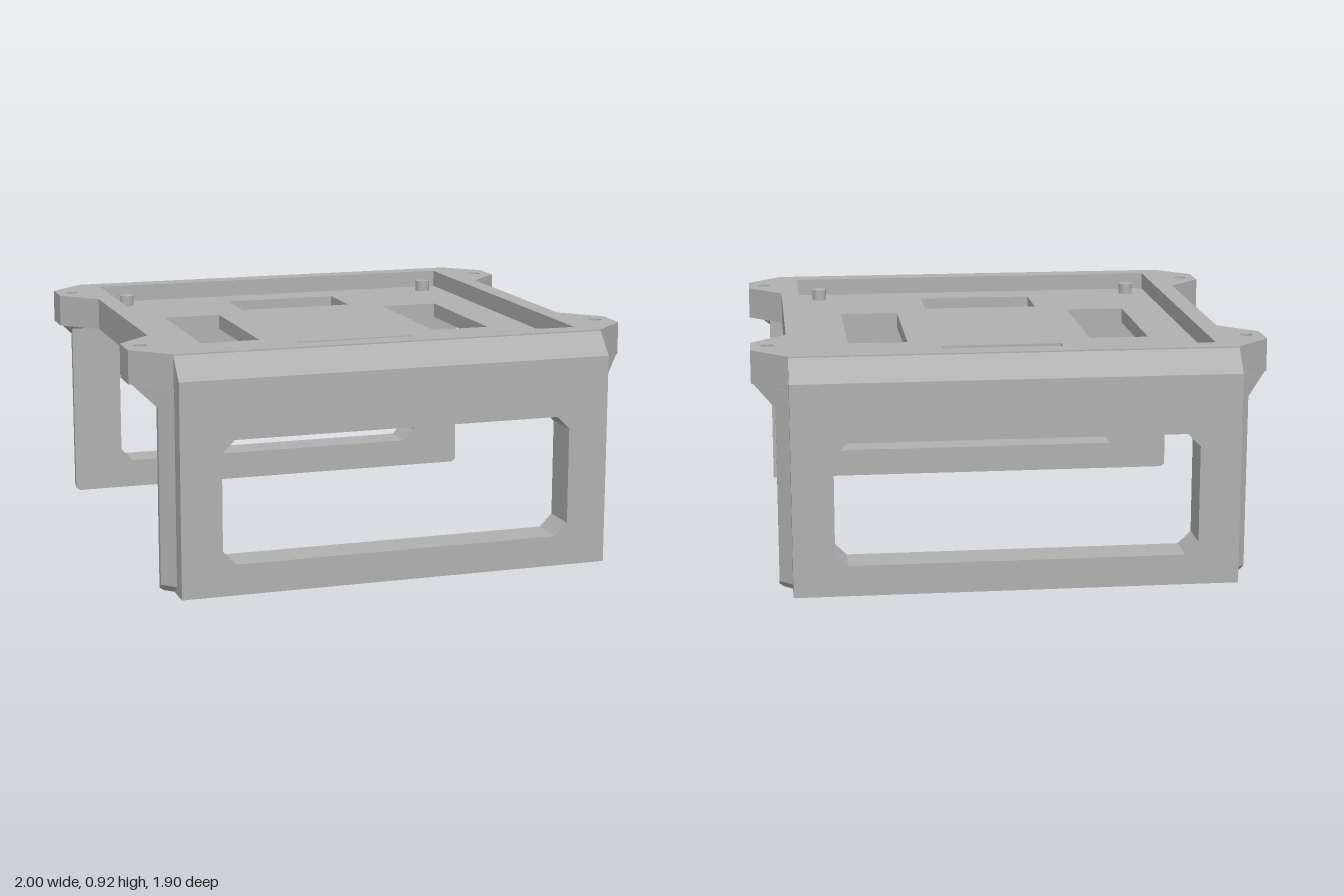
import * as THREE from 'three';
import { ConvexGeometry } from 'three/addons/geometries/ConvexGeometry.js';

const grey = new THREE.MeshStandardMaterial({ color: 0xb0b0b0 });
grey.name = 'plain grey';

const part = (name, geometry, parent) => {
  const mesh = new THREE.Mesh(geometry, grey);
  mesh.name = name;
  parent.add(mesh);
  return mesh;
};
const loop = (pts) => pts.map(([x, y]) => new THREE.Vector2(x, y));
const rect = (x0, y0, x1, y1) => loop([[x0, y0], [x1, y0], [x1, y1], [x0, y1]]);
const circle = (x, y, r) => new THREE.Path().absarc(x, y, r, 0, Math.PI * 2, false);

function extrude(points, holes, depth) {
  const shape = new THREE.Shape(points);
  for (const h of holes) shape.holes.push(h instanceof THREE.Path ? h : new THREE.Path(h));
  return new THREE.ExtrudeGeometry(shape, { depth, bevelEnabled: false, curveSegments: 10 });
}

// Flat slab drawn in plan (x, -z) between two heights
const slab = (points, holes, y0, y1) =>
  extrude(points, holes, y1 - y0).rotateX(-Math.PI / 2).translate(0, y0, 0);

const hull = (pts) => new ConvexGeometry(pts.map((p) => new THREE.Vector3(...p)));

// One leg frame on the +z side; cuts lists the sides whose foot is bevelled
function makeLeg(name, cuts) {
  const leg = new THREE.Group();
  leg.name = name;

  // Panel with a chamfered rectangular opening
  const w = 0.70, b = 0.12, t = 0.60, c = 0.05;
  const opening = loop([[-w, b + c], [-w + c, b], [w - c, b], [w, b + c],
    [w, t - c], [w - c, t], [-w + c, t], [-w, t - c]]);
  part('legPanel', extrude(rect(-0.86, 0.06, 0.86, 0.72), [opening], 0.15).translate(0, 0, 0.80), leg);

  // Foot bar with screw holes
  part('footBar', slab(rect(-0.86, -0.95, 0.86, -0.80),
    [circle(-0.83, -0.875, 0.022), circle(0.83, -0.875, 0.022)], 0, 0.06), leg);

  // Top beam with the outer chamfer, drawn in (-z, y) and run along x
  const beam = extrude(loop([[-0.80, 0.72], [-0.80, 0.79], [-0.86, 0.79], [-0.86, 0.92],
    [-0.865, 0.92], [-0.95, 0.83], [-0.95, 0.72]]), [], 1.72);
  part('topBeam', beam.rotateY(Math.PI / 2).translate(-0.86, 0, 0), leg);

  // Inner chamfer that also carries the ears
  const brace = [];
  for (const s of [-1, 1]) {
    brace.push([s * 0.99, 0.79, 0.745], [s * 0.91, 0.79, 0.825], [s * 0.91, 0.712, 0.825]);
  }
  part('innerBrace', hull(brace), leg);

  // Slanted side flanges
  for (const s of [-1, 1]) {
    const plan = [[0.86, 0.80], [0.91, 0.80], [0.91, 0.825], [0.86, 0.875]];
    const pts = plan.map(([x, z]) => [s * x, 0.79, z]);
    if (cuts.includes(s)) {
      pts.push([s * 0.86, 0, 0.80], [s * 0.893, 0, 0.80], [s * 0.86, 0, 0.833],
        [s * 0.91, 0.012, 0.80], [s * 0.91, 0.03, 0.825], [s * 0.86, 0.03, 0.875]);
    } else {
      pts.push(...plan.map(([x, z]) => [s * x, 0, z]));
    }
    part('sideFlange', hull(pts), leg);
  }
  return leg;
}

export function createModel() {
  const model = new THREE.Group();
  model.name = 'mountingStand';

  // Rim with four ears, around a square pocket
  const side = [[0.86, -0.87], [1, -0.735], [1, -0.595], [0.86, -0.455],
    [0.86, 0.455], [1, 0.595], [1, 0.735], [0.86, 0.87]];
  const outline = loop([...side, ...side.map(([x, z]) => [-x, -z])]);
  const corners = [[1, 1], [1, -1], [-1, 1], [-1, -1]];
  const p = 0.785;
  part('rim', slab(outline,
    [rect(-p, -p, p, p), ...corners.map(([i, j]) => circle(i * 0.935, j * 0.655, 0.025))],
    0.79, 0.92), model);

  // Pocket floor with four windows
  const windows = [rect(-0.24, 0.40, 0.24, 0.64), rect(-0.24, -0.64, 0.24, -0.40),
    rect(0.37, -0.31, 0.61, 0.31), rect(-0.61, -0.31, -0.37, 0.31)];
  part('pocketFloor', slab(rect(-p, -p, p, p), windows, 0.79, 0.85), model);

  // Locating pegs
  for (const [i, j] of corners) {
    part('peg', new THREE.CylinderGeometry(0.03, 0.03, 0.045, 20), model)
      .position.set(i * 0.69, 0.8725, j * 0.675);
  }

  // Front and back leg frames
  model.add(makeLeg('frontLeg', [-1]));
  const back = makeLeg('backLeg', [-1, 1]);
  back.rotation.y = Math.PI;
  model.add(back);
  return model;
}
